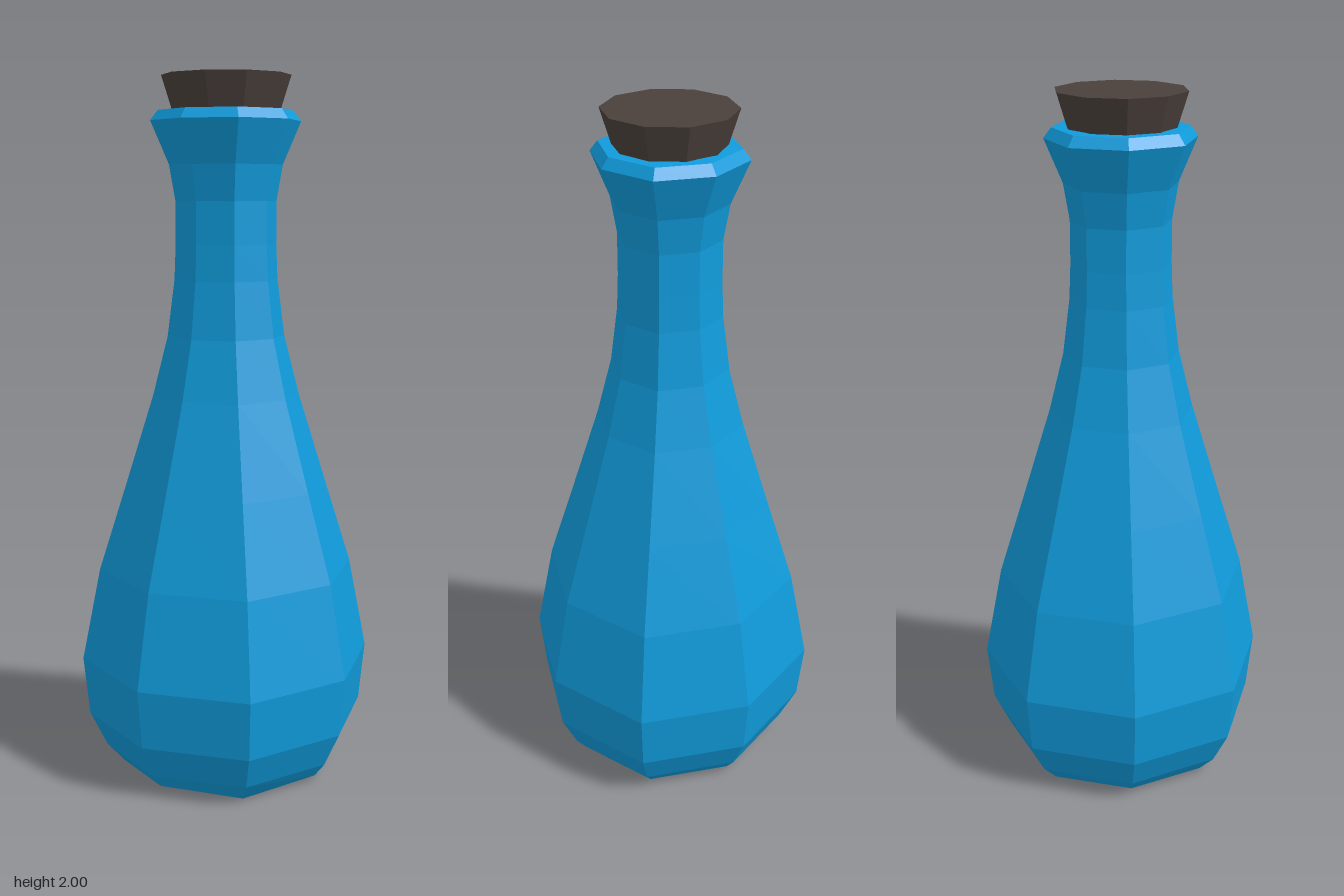
import * as THREE from 'three';

// Bottle silhouette, bottom to top: [radius, height]
const PROFILE = [
  [0, 0.006], [0.317, 0.018], [0.35, 0.06], [0.397, 0.16], [0.414, 0.33],
  [0.362, 0.6], [0.285, 0.85], [0.206, 1.11], [0.164, 1.28], [0.144, 1.44],
  [0.14, 1.54], [0.14, 1.66], [0.157, 1.76], [0.207, 1.88], [0.186, 1.908],
  [0.14, 1.91], [0.1, 1.85],
];

// Eight-sided glass body whose diagonal corners stand slightly proud
function bottleGeometry() {
  const points = PROFILE.map(([r, y]) => new THREE.Vector2(r, y));
  const geometry = new THREE.LatheGeometry(points, 8);
  const pos = geometry.attributes.position;
  for (let i = 0; i < pos.count; i++) {
    const x = pos.getX(i), y = pos.getY(i), z = pos.getZ(i);
    if (Math.abs(x * z) < 1e-4) continue;
    const base = y < 0.05;
    const k = base ? 0.98 : 1.03;
    pos.setXYZ(i, x * k, base ? 0.004 : y, z * k);
  }
  // Rest the lowest corners on the ground
  geometry.translate(0, -0.004, 0);
  geometry.computeVertexNormals();
  return geometry;
}

export function createModel() {
  const group = new THREE.Group();
  group.name = 'corkedBottle';

  const glass = new THREE.MeshStandardMaterial({ color: 0x109bdb, flatShading: true, side: THREE.DoubleSide });
  const body = new THREE.Mesh(bottleGeometry(), glass);
  body.name = 'bottleBody';
  group.add(body);

  // Tapered ten-sided stopper, pushed into the mouth
  const stopperMaterial = new THREE.MeshStandardMaterial({ color: 0x4a403c, flatShading: true });
  const stopper = new THREE.Mesh(new THREE.CylinderGeometry(0.181, 0.131, 0.16, 10), stopperMaterial);
  stopper.name = 'stopper';
  stopper.position.y = 1.92;
  group.add(stopper);

  return group;
}
